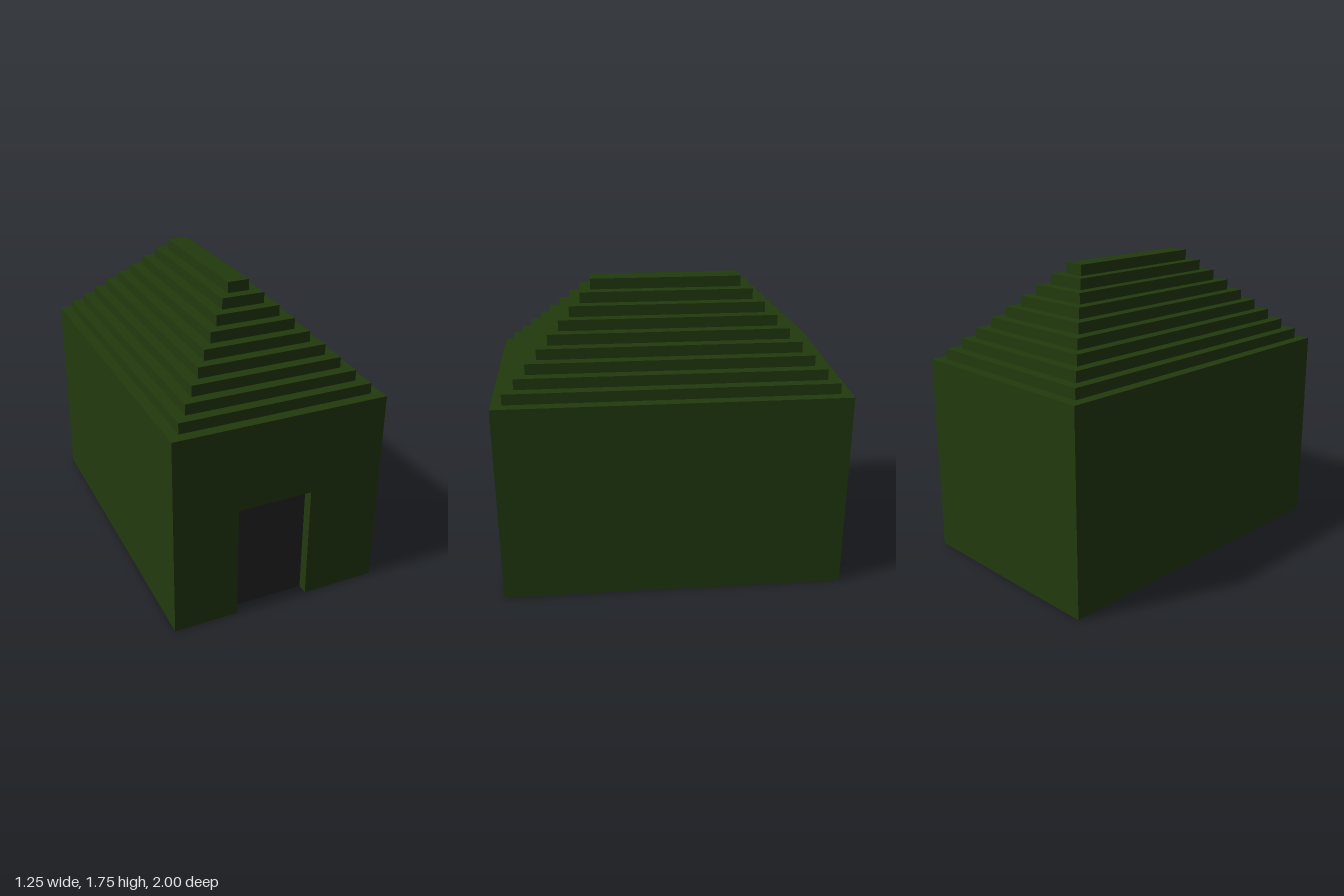
import * as THREE from 'three';

const U = 1 / 16; // one block step

export function createModel() {
  const model = new THREE.Group();
  model.name = 'house';

  const leaf = new THREE.MeshStandardMaterial({ color: 0x223a0e });
  leaf.name = 'dark green';
  const dark = new THREE.MeshStandardMaterial({ color: 0x242424 });
  dark.name = 'charcoal';

  // Box given by its minimum and maximum corners, in block steps
  function block(name, material, min, max, parent = model) {
    const size = max.map((v, i) => (v - min[i]) * U);
    const mesh = new THREE.Mesh(new THREE.BoxGeometry(...size), material);
    mesh.position.set(...max.map((v, i) => ((v + min[i]) / 2) * U));
    mesh.name = name;
    parent.add(mesh);
    return mesh;
  }

  // Main body behind the front wall
  block('body', leaf, [-10, 0, -16], [10, 19, 14]);

  // Front wall with the doorway cut out, two steps thick
  const outline = [[-10, 0], [-4, 0], [-4, 11], [3, 11], [3, 0], [10, 0], [10, 19], [-10, 19]];
  const wall = new THREE.Shape(outline.map(([x, y]) => new THREE.Vector2(x * U, y * U)));
  const frontWall = new THREE.Mesh(
    new THREE.ExtrudeGeometry(wall, { depth: 2 * U, bevelEnabled: false }),
    leaf
  );
  frontWall.position.z = 14 * U;
  frontWall.name = 'frontWall';
  model.add(frontWall);

  // Door set back one step into the doorway
  block('door', dark, [-4, 0, 14], [3, 11, 15]);

  // Stepped hip roof, each layer one step smaller all round
  const roof = new THREE.Group();
  roof.name = 'roof';
  for (let i = 1; i <= 9; i++) {
    block('roofLayer' + i, leaf, [i - 10, 18 + i, i - 16], [10 - i, 19 + i, 16 - i], roof);
  }
  model.add(roof);

  return model;
}
